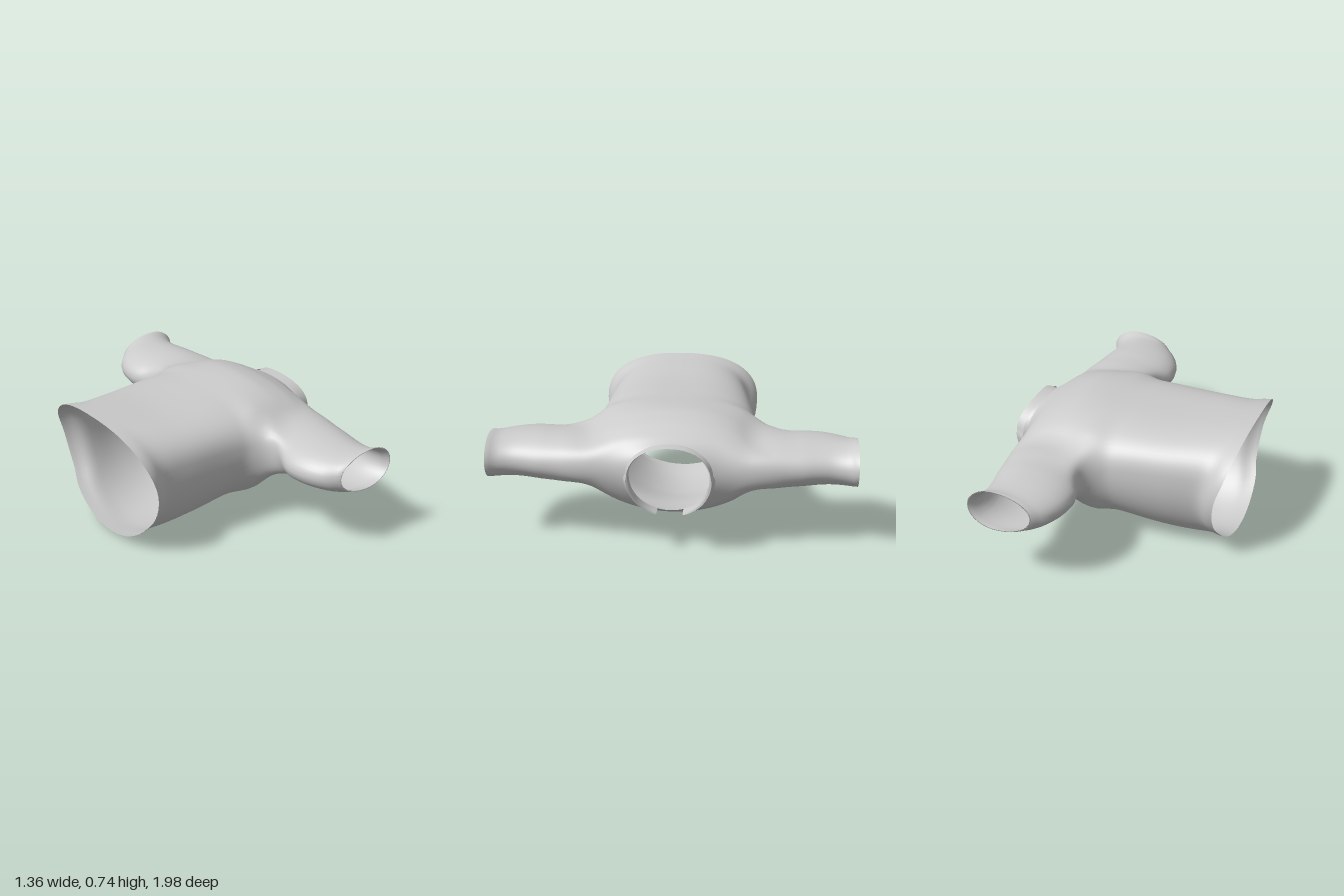
import * as THREE from 'three';

const material = new THREE.MeshStandardMaterial({ color: 0xcccccc, side: THREE.DoubleSide });
const lerp = THREE.MathUtils.lerp;
const ramp = THREE.MathUtils.smoothstep;

// Smooth curve through [position, value] pairs
function curve(pts) {
  const slope = (i) => {
    const a = pts[Math.max(i - 1, 0)], b = pts[Math.min(i + 1, pts.length - 1)];
    return (b[1] - a[1]) / (b[0] - a[0]);
  };
  return (x) => {
    let i = 0;
    while (i < pts.length - 2 && x > pts[i + 1][0]) i++;
    const [x0, y0] = pts[i], [x1, y1] = pts[i + 1], d = x1 - x0;
    const t = THREE.MathUtils.clamp((x - x0) / d, 0, 1), t2 = t * t, t3 = t2 * t;
    return (2 * t3 - 3 * t2 + 1) * y0 + (t3 - 2 * t2 + t) * d * slope(i)
      + (3 * t2 - 2 * t3) * y1 + (t3 - t2) * d * slope(i + 1);
  };
}

// Torso outline along its length (hem at -x, neck at +x)
const topY = curve([[-0.65, 0.74], [-0.55, 0.732], [-0.3, 0.715], [0, 0.72], [0.28, 0.732], [0.4, 0.708], [0.5, 0.67]]);
const bottomY = curve([[-0.65, 0.025], [-0.45, 0.003], [-0.2, 0.016], [0, 0.053], [0.2, 0.083], [0.3, 0.12], [0.5, 0.215]]);
const halfWidth = curve([[-0.65, 0.46], [-0.61, 0.445], [-0.56, 0.412], [-0.5, 0.402], [-0.3, 0.42], [0, 0.452], [0.05, 0.47], [0.1, 0.51], [0.15, 0.535], [0.3, 0.49], [0.5, 0.46]]);
// Fullness of the upper half of each section
const upperPower = curve([[-0.65, 2.4], [-0.4, 2.8], [-0.1, 2.8], [0.2, 2.3], [0.5, 2.3]]);
// Hem edge by height: longer at the back
const hemX = curve([[0.03, -0.615], [0.15, -0.6], [0.24, -0.577], [0.43, -0.59], [0.6, -0.642], [0.74, -0.68]]);

// Sleeve outline along its reach
const sleeveLow = curve([[0.5, 0.14], [0.56, 0.115], [0.62, 0.093], [0.7, 0.081], [0.77, 0.08], [0.85, 0.098], [0.93, 0.14], [0.99, 0.2]]);
const sleeveHigh = curve([[0.5, 0.578], [0.6, 0.572], [0.7, 0.555], [0.85, 0.532], [0.94, 0.545], [0.99, 0.57]]);
const sleeveTop = curve([[0.5, 0.63], [0.6, 0.615], [0.8, 0.605], [0.95, 0.597], [0.99, 0.61]]);
const sleeveBottom = curve([[0.5, 0.315], [0.6, 0.338], [0.8, 0.357], [0.95, 0.365], [0.99, 0.372]]);

const power = (v, p) => Math.sign(v) * Math.abs(v) ** p;

// Rounded section point: flat upper half, rounder lower half
function section(a, top, bottom, mid, width, nTop, nBottom) {
  const s = Math.sin(a), c = Math.cos(a), e = 2 / (s > 0 ? nTop : nBottom);
  return [mid + power(s, e) * (s > 0 ? top - mid : mid - bottom), power(c, e) * width];
}

function neckPoint(a) {
  const s = Math.sin(a), c = Math.cos(a);
  const [y, z] = section(a, 0.632, 0.235, 0.47, 0.215, 2.3, 1.95);
  return new THREE.Vector3((s > 0 ? 0.57 : 0.53) + (s > 0 ? 0.04 : 0.08) * c * c, y, z);
}

function bodyPoint(x, a) {
  const [y, z] = section(a, topY(x), bottomY(x), 0.475, halfWidth(x), upperPower(x), 2);
  const hemShift = (hemX(y) + 0.65) * (1 - ramp(x, -0.65, -0.25));
  const shoulder = 0.085 * Math.cos(a) ** 4 * ramp(x, 0.2, 0.5);
  return new THREE.Vector3(x + hemShift + shoulder, y, z + 0.014 * (1 - ramp(x, -0.6, 0)));
}

// Relaxes the cloth around the armholes and shoulders
function relax(positions, index, isFixed) {
  const near = Array.from({ length: positions.length / 3 }, () => new Set());
  for (let t = 0; t < index.length; t += 3)
    for (let e = 0; e < 3; e++) {
      const a = index[t + e], b = index[t + (e + 1) % 3];
      near[a].add(b);
      near[b].add(a);
    }
  const weights = near.map((_, k) => {
    const x = positions[k * 3], z = Math.abs(positions[k * 3 + 2]);
    const armhole = ramp(z, 0.36, 0.44) * (1 - ramp(z, 0.6, 0.72)) * ramp(x, 0.02, 0.12);
    const yoke = ramp(x, 0.42, 0.5) * (1 - ramp(z, 0.6, 0.72));
    return isFixed(k) ? 0 : Math.max(armhole, yoke) * 0.5;
  });
  for (let pass = 0; pass < 13; pass++) {
    const old = positions.slice();
    near.forEach((set, k) => {
      if (weights[k] === 0) return;
      for (let c = 0; c < 3; c++) {
        let sum = 0;
        for (const q of set) sum += old[q * 3 + c];
        positions[k * 3 + c] = lerp(old[k * 3 + c], sum / set.size, weights[k]);
      }
    });
  }
}

function buildGarment() {
  const M = 64, positions = [], torso = [], sleeves = [[], []], xs = [];
  for (let i = 0; i < 36; i++) xs.push(lerp(-0.65, 0.13, i / 36));
  for (let i = 0; i <= 16; i++) xs.push(lerp(0.13, 0.5, i / 16));
  const i0 = 36, i1 = 52, neckRows = 8, rows = xs.length + neckRows;
  const add = (p) => positions.push(p.x, p.y, p.z) / 3 - 1;
  const get = (k) => new THREE.Vector3().fromArray(positions, k * 3);
  const quad = (list, a, b, c, d) => list.push(a, b, c, a, c, d);
  const id = (i, j) => i * M + (j + M) % M;

  // Torso rings, closing in from the shoulders to the neck
  for (let i = 0; i < rows; i++) {
    for (let j = 0; j < M; j++) {
      const a = j / M * Math.PI * 2;
      const p = bodyPoint(xs[Math.min(i, i1)], a);
      if (i > i1) {
        const t = (i - i1) / neckRows, n = neckPoint(a);
        const side = Math.cos(a) ** 2;
        p.set(lerp(p.x, n.x, lerp(t, t * t * t, side)), lerp(p.y, n.y, t), lerp(p.z, n.z, t));
      }
      add(p);
    }
  }
  // Armholes: angular ranges left open on both sides
  const holes = [[-4, 5], [M / 2 - 5, M / 2 + 4]];
  const inHole = (i, j) => i >= i0 && i < i1 &&
    (j >= M - 4 || j < 5 || (j >= holes[1][0] && j < holes[1][1]));
  for (let i = 0; i < rows - 1; i++)
    for (let j = 0; j < M; j++)
      if (!inHole(i, j)) quad(torso, id(i, j), id(i + 1, j), id(i + 1, j + 1), id(i, j + 1));

  // Sleeves grow out of the armhole edges into almond-shaped cuffs
  holes.forEach(([j0, j1], h) => {
    const sign = h ? -1 : 1, loop = [];
    for (let i = i0; i < i1; i++) loop.push(id(i, j0));
    for (let j = j0; j < j1; j++) loop.push(id(i1, j));
    for (let i = i1; i > i0; i--) loop.push(id(i, j1));
    for (let j = j1; j > j0; j--) loop.push(id(i0, j));
    const start = loop.map(get), steps = 24, n = loop.length;
    let previous = loop;
    for (let k = 1; k <= steps + 2; k++) {
      const t = Math.min(k / steps, 1), lip = Math.max(k - steps, 0);
      const ring = start.map((p) => {
        const z = lerp(Math.abs(p.z), 0.992, t) - (lip === 2 ? 0.04 : 0);
        const low = sleeveLow(z), high = sleeveHigh(z), top = sleeveTop(z), bottom = sleeveBottom(z);
        const a = Math.atan2((p.y - 0.475) / 0.16, (p.x - 0.345) / 0.215), c = Math.cos(a);
        const shrink = lip ? 0.96 : 1, b = ramp(t, 0, 0.32), mid = lerp(low, high, 0.58);
        const x = mid + c * (c > 0 ? high - mid : mid - low) * shrink;
        const y = (top + bottom) / 2 + Math.sin(a) * (top - bottom) / 2 * shrink;
        return add(new THREE.Vector3(lerp(p.x, x, b), lerp(p.y, y, b), sign * z));
      });
      ring.forEach((v, m) => quad(sleeves[h], previous[m], previous[(m + 1) % n], ring[(m + 1) % n], v));
      previous = ring;
    }
  });

  // Shared normals keep the joins between the parts smooth
  const index = [...torso, ...sleeves[0], ...sleeves[1]];
  relax(positions, index, (k) => k >= id(rows - 1, 0) && k < rows * M);
  const whole = new THREE.BufferGeometry();
  whole.setAttribute('position', new THREE.Float32BufferAttribute(positions, 3));
  whole.setIndex(index);
  whole.computeVertexNormals();
  return [['torso', torso], ['frontSleeve', sleeves[0]], ['backSleeve', sleeves[1]]].map(([name, faces]) => {
    const g = whole.clone().setIndex(faces);
    const mesh = new THREE.Mesh(g, material);
    mesh.name = name;
    return mesh;
  });
}

// Standing collar with a folded outer layer, open at the throat
function buildCollar() {
  const profile = [[-0.005, 1], [0.062, 1], [0.066, 1.05], [0.02, 1.13]];
  const steps = 56, gap = 0.34, positions = [], index = [];
  for (let r = 0; r < profile.length - 1; r++) {
    for (let k = 0; k <= steps; k++) {
      const p = neckPoint(lerp(-Math.PI / 2 + gap, Math.PI * 1.5 - gap, k / steps)), upper = p.y > 0.47;
      for (const [dx, s] of [profile[r], profile[r + 1]]) {
        const y = upper ? p.y : 0.47 + (p.y - 0.47) * (1 + (s - 1) * 0.5);
        positions.push(p.x + dx, y, p.z * (1 + (s - 1) * (upper ? 0.6 : 1)));
      }
      const b = (r * (steps + 1) + k) * 2;
      if (k < steps) index.push(b, b + 3, b + 1, b, b + 2, b + 3);
    }
  }
  const g = new THREE.BufferGeometry();
  g.setAttribute('position', new THREE.Float32BufferAttribute(positions, 3));
  g.setIndex(index);
  g.computeVertexNormals();
  const mesh = new THREE.Mesh(g, material);
  mesh.name = 'collar';
  return mesh;
}

export function createModel() {
  const group = new THREE.Group();
  group.name = 'shirt';
  group.add(...buildGarment(), buildCollar());
  return group;
}
